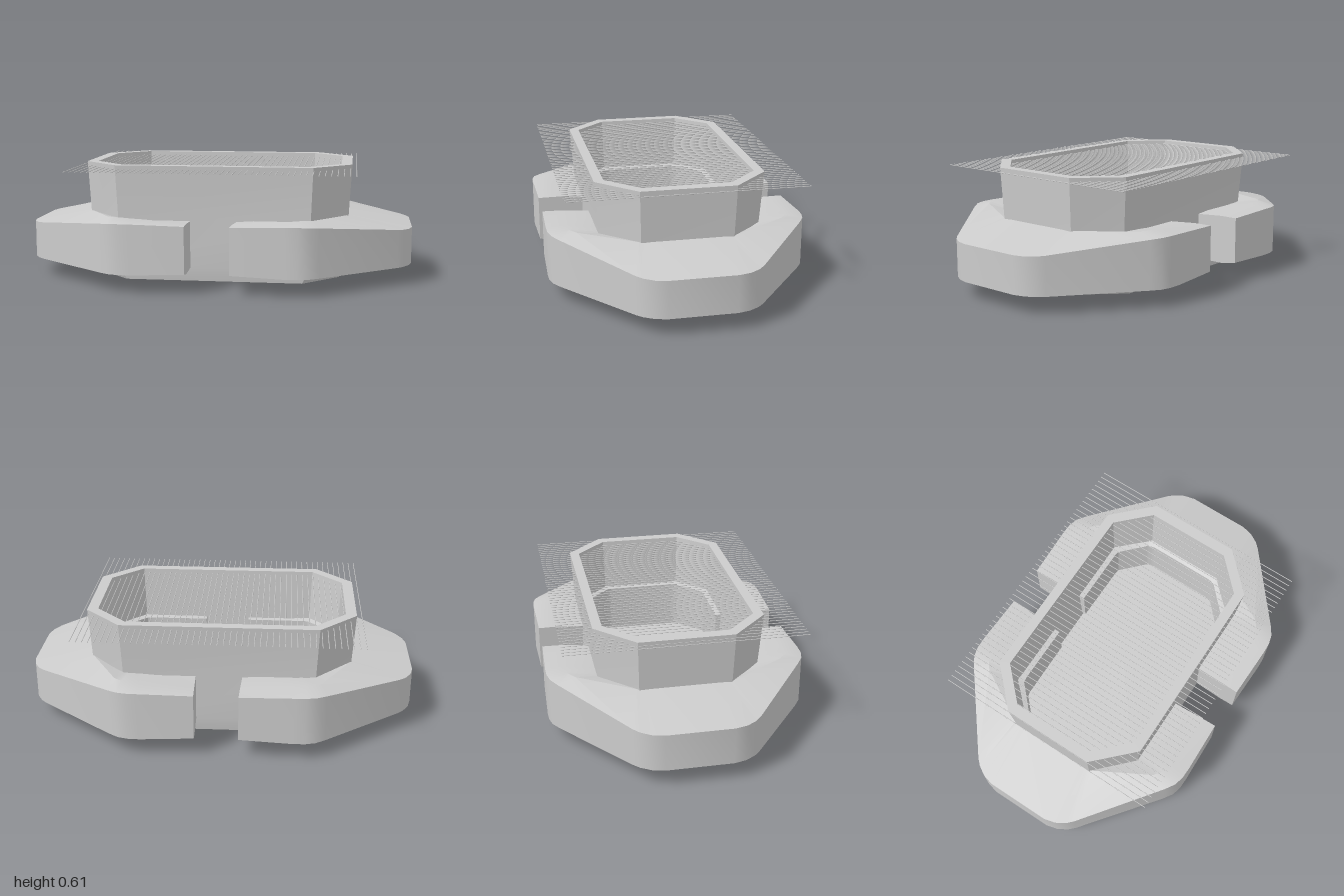
import * as THREE from 'three';
import { toCreasedNormals } from 'three/addons/utils/BufferGeometryUtils.js';

const grey = new THREE.MeshStandardMaterial({ color: 0xcccccc });

// Skin a list of closed rings (arrays of Vector3); optionally cap both ends.
function loft(rings, caps, crease) {
  const pos = [];
  const tri = (a, b, c) => {
    if (new THREE.Triangle(a, b, c).getArea() < 1e-8) return;
    for (const p of [a, b, c]) pos.push(p.x, p.y, p.z);
  };
  for (let i = 0; i < rings.length - 1; i++) {
    const r = rings[i], s = rings[i + 1], n = r.length;
    for (let j = 0; j < n; j++) {
      const k = (j + 1) % n;
      tri(r[j], r[k], s[k]);
      tri(r[j], s[k], s[j]);
    }
  }
  if (caps) {
    const a = rings[0], b = rings[rings.length - 1], n = a.length;
    for (let j = 0; j < n - 2; j++) {
      tri(a[n - 1], a[j + 1], a[j]);
      tri(b[n - 1], b[j], b[j + 1]);
    }
  }
  const g = new THREE.BufferGeometry();
  g.setAttribute('position', new THREE.Float32BufferAttribute(pos, 3));
  return toCreasedNormals(g, crease);
}

// Elongated octagon: half length hx, half width hz, chamfer corners at (cx, hz) and (hx, cz).
function octagon(hx, hz, cx, cz, y) {
  return [
    [cx, hz], [hx, cz], [hx, -cz], [cx, -hz],
    [-cx, -hz], [-hx, -cz], [-hx, cz], [-cx, hz],
  ].map(([x, z]) => new THREE.Vector3(x, y, z));
}

// Hollow octagonal tub: up the outside, over the rim, down to the floor.
function tubGeometry() {
  return loft([
    octagon(0, 0, 0, 0, 0.0),
    octagon(0.63, 0.405, 0.45, 0.22, 0.017),
    octagon(0.665, 0.415, 0.485, 0.23, 0.085),
    octagon(0.675, 0.408, 0.49, 0.23, 0.34),
    octagon(0.69, 0.427, 0.5, 0.237, 0.605),
    octagon(0.635, 0.378, 0.477, 0.22, 0.605),
    octagon(0.605, 0.36, 0.46, 0.205, 0.06),
    octagon(0, 0, 0, 0, 0.06),
  ], false, 0.25);
}

// One C-shaped half of the float collar, swept from the front gap round to the back gap.
function collarGeometry() {
  // outer x, z | inner x, z | outer top y | ridge position, ridge y | bottom y
  const rows = [
    [0.11, 0.648, 0.12, 0.34, 0.335, 0.3, 0.335, 0.1],
    [0.38, 0.655, 0.4, 0.34, 0.342, 0.3, 0.355, 0.09],
    [0.44, 0.653, 0.43, 0.34, 0.342, 0.3, 0.36, 0.09],
    [0.49, 0.64, 0.445, 0.338, 0.34, 0.3, 0.36, 0.09],
    [0.54, 0.607, 0.46, 0.335, 0.335, 0.32, 0.358, 0.09],
    [0.925, 0.305, 0.58, 0.22, 0.285, 0.75, 0.345, 0.09],
    [0.955, 0.275, 0.585, 0.21, 0.282, 0.8, 0.345, 0.09],
    [0.985, 0.225, 0.59, 0.2, 0.28, 0.82, 0.345, 0.09],
    [1.0, 0.165, 0.595, 0.18, 0.28, 0.82, 0.345, 0.09],
  ];
  const back = rows.map((r) => r.map((v, i) => (i === 1 || i === 3 ? -v : v))).reverse();
  const rings = [...rows, ...back].map(([ox, oz, ix, iz, top, t, ridge, low]) => {
    const at = (f, y) => new THREE.Vector3(ox + (ix - ox) * f, y, oz + (iz - oz) * f);
    const under = low - 0.015;
    return [at(1, 0.32), at(t, ridge), at(0, top), at(0, low), at(0.25, under), at(1, under)];
  });
  return loft(rings, true, 0.45);
}

export function createModel() {
  const model = new THREE.Group();
  const add = (name, geometry, parent = model) => {
    const mesh = new THREE.Mesh(geometry, grey);
    mesh.name = name;
    parent.add(mesh);
    return mesh;
  };

  add('tub', tubGeometry());

  // Two matching collar halves with gaps at front and back
  const collar = collarGeometry();
  add('leftCollar', collar);
  add('rightCollar', collar).rotation.y = Math.PI;

  // Row of fine wires stretched across the mouth of the tub
  const wires = new THREE.Group();
  wires.name = 'wireScreen';
  model.add(wires);
  const wire = new THREE.CylinderGeometry(0.002, 0.002, 1.19, 6).rotateX(Math.PI / 2);
  const count = 49;
  for (let i = 0; i < count; i++) {
    add('wire', wire, wires).position.set(-0.718 + (1.43 * i) / (count - 1), 0.585, 0);
  }
  return model;
}
